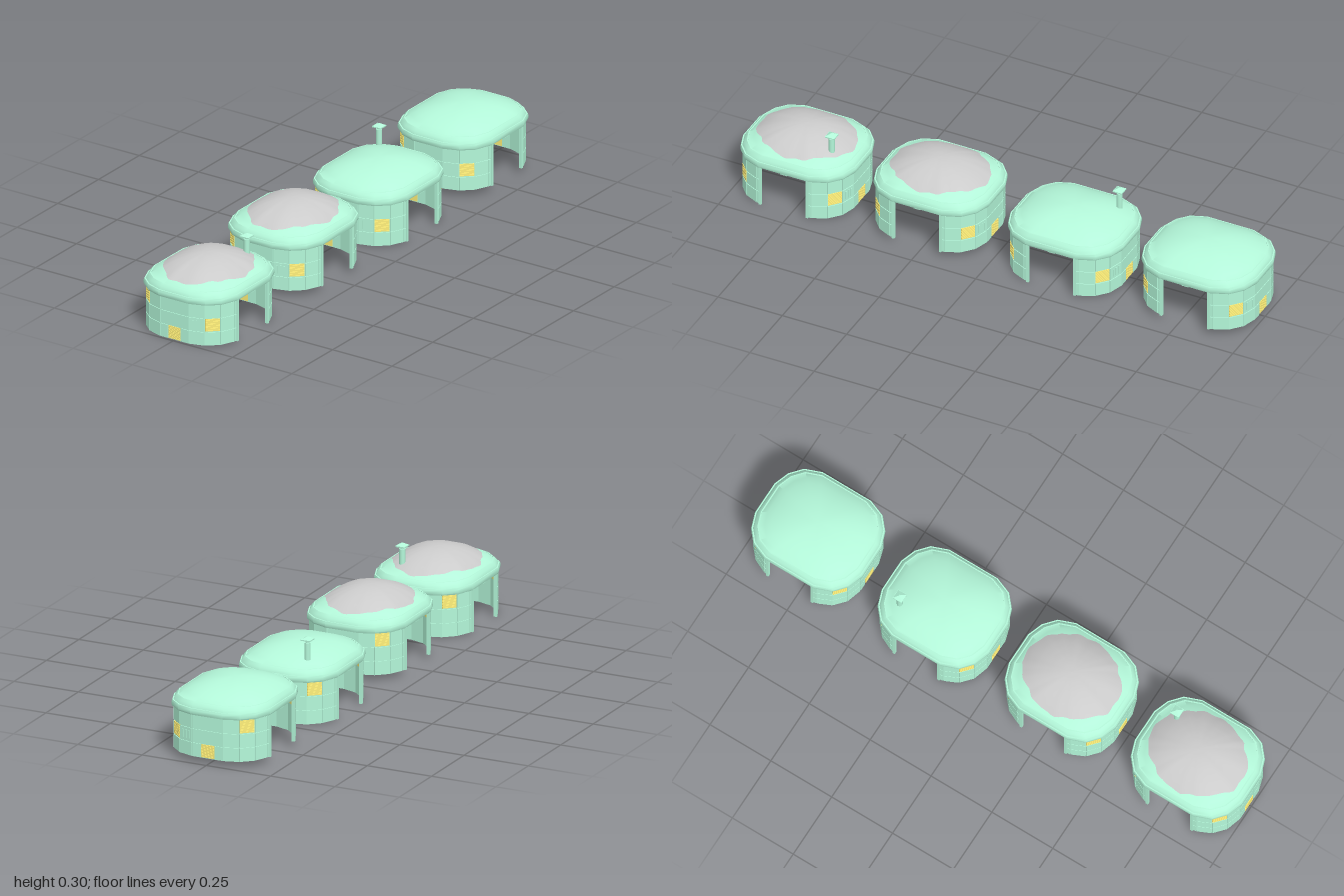
import * as THREE from 'three';
import { toCreasedNormals } from 'three/addons/utils/BufferGeometryUtils.js';

const GREEN = new THREE.MeshStandardMaterial({ color: 0xb4f8da });
const YELLOW = new THREE.MeshStandardMaterial({ color: 0xfff07a });
const GREY = new THREE.MeshStandardMaterial({ color: 0xcccccc });

// Roof plan: one quarter, mirrored to the full faceted oval (counted from +x towards +z)
const QUARTER = [[0.188, 0], [0.188, 0.1], [0.164, 0.162], [0.12, 0.2], [0.063, 0.22], [0, 0.22]];
const half = [...QUARTER, ...QUARTER.slice(0, -1).reverse().map(([x, z]) => [-x, z])];
const PLAN = [...half, ...half.slice(1, -1).reverse().map(([x, z]) => [x, -z])];

// Roof profile: [share of the plan, height]
const DOME = [[0.885, 0.196], [0.8, 0.207], [0.7, 0.216], [0.58, 0.225], [0.45, 0.232], [0.3, 0.238], [0.15, 0.2415], [0, 0.2425]];
const ROOF = [[0, 0.157], [0.975, 0.155], [0.99, 0.155], [1, 0.16], [1, 0.172], [0.99, 0.178], [0.97, 0.178],
  [0.945, 0.188], [0.905, 0.197], [0.885, 0.197], ...DOME];

// Front wall corners, from the -x door jamb to the +x door jamb
const LEFT = [[-0.184, 0.088], [-0.181, 0.108], [-0.158, 0.158], [-0.116, 0.195], [-0.06, 0.212]];
const WALL = [...LEFT, ...[...LEFT].reverse().map(([x, z]) => [-x, z])];
const ROWS = [0, 0.052, 0.103, 0.155];

function add(parent, name, geometry, material, x = 0, y = 0, z = 0) {
  const mesh = new THREE.Mesh(geometry, material);
  mesh.name = name;
  mesh.position.set(x, y, z);
  parent.add(mesh);
  return mesh;
}

// Closed rings joined row by row; point(i, j) gives each corner
function loft(rows, cols, point) {
  const pos = [], index = [];
  for (let i = 0; i < rows; i++) for (let j = 0; j < cols; j++) pos.push(...point(i, j));
  for (let i = 0; i < rows - 1; i++) {
    for (let j = 0; j < cols; j++) {
      const a = i * cols + j, b = i * cols + (j + 1) % cols;
      index.push(a, a + cols, b, b, a + cols, b + cols);
    }
  }
  const g = new THREE.BufferGeometry();
  g.setAttribute('position', new THREE.Float32BufferAttribute(pos, 3));
  g.setIndex(index);
  return g;
}

function planRadius(angle) {
  let r = Infinity;
  PLAN.forEach(([x, z], i) => {
    const [x2, z2] = PLAN[(i + 1) % PLAN.length];
    const nx = z2 - z, nz = x - x2;
    const d = nx * Math.cos(angle) + nz * Math.sin(angle);
    if (d > 1e-6) r = Math.min(r, (nx * x + nz * z) / d);
  });
  return r;
}

function domeHeight(s) {
  const i = Math.max(1, DOME.findIndex(([t]) => t <= s));
  const [s0, y0] = DOME[i - 1], [s1, y1] = DOME[i];
  return y0 + (y1 - y0) * (s - s0) / (s1 - s0);
}

function roofGeometry() {
  const g = loft(ROOF.length, PLAN.length, (i, j) => {
    const [s, y] = ROOF[i];
    return [PLAN[j][0] * s, y, PLAN[j][1] * s];
  });
  return toCreasedNormals(g, 0.53);
}

// Rounded covering with a ragged, diamond-like border
function capGeometry() {
  const rows = 16, cols = 72;
  const g = loft(rows, cols, (i, j) => {
    const t = 1 - i / (rows - 1), a = j / cols * Math.PI * 2;
    const s = t * (0.765 + 0.06 * Math.cos(4 * a) + 0.012 * Math.sin(11 * a) + 0.008 * Math.cos(17 * a));
    const r = s * planRadius(a);
    return [r * Math.cos(a), domeHeight(s) + 0.0015 + 0.018 * (1 - t * t), r * Math.sin(a)];
  });
  g.computeVertexNormals();
  return g;
}

// One curved end wall; side = 1 for the front, -1 for the back
function endWall(side) {
  const wall = new THREE.Group();
  wall.name = side > 0 ? 'frontWall' : 'backWall';
  for (let f = 0; f < WALL.length - 1; f++) {
    const [ax, az] = WALL[f], [bx, bz] = WALL[f + 1];
    const len = Math.hypot(bx - ax, bz - az);
    const dx = (bx - ax) / len, dz = (bz - az) / len;
    // Box on this facet: span u along it, height y, depth d outwards
    const slab = (name, mat, u0, u1, y0, y1, d0, d1) => {
      const u = (u0 + u1) / 2, d = (d0 + d1) / 2;
      const m = add(wall, name, new THREE.BoxGeometry(u1 - u0, y1 - y0, d1 - d0), mat,
        ax + dx * u - dz * d, (y0 + y1) / 2, side * (az + dz * u + dx * d));
      m.rotation.y = Math.atan2(-dz, dx * side);
    };
    const panel = (u0, u1, row) => slab('wallPanel', GREEN, u0 + 0.0015, u1 - 0.0015,
      ROWS[row] + 0.0015, ROWS[row + 1] - 0.0015, -0.003, 0);
    const shutter = (u0, u1, row) => {
      const y0 = ROWS[row] + 0.002, y1 = ROWS[row + 1] - 0.002, n = 9, h = (y1 - y0) / n;
      slab('shutterPlate', YELLOW, u0 + 0.002, u1 - 0.002, y0, y1, -0.0085, -0.002);
      for (let k = 0; k < n; k++) {
        slab('shutterSlat', YELLOW, u0 + 0.002, u1 - 0.002, y0 + k * h + 0.0007, y0 + (k + 1) * h - 0.0007, -0.002, 0);
      }
    };
    slab('wallBacking', GREEN, 0, len, 0, 0.157, -0.008, -0.003);
    for (let row = 0; row < 3; row++) {
      if (f === 4 && row === 0) {
        panel(0, 0.032, row);
        shutter(0.032, 0.086, row);
        panel(0.086, len, row);
      } else if (f === 4 && row === 1) {
        panel(0, 0.086, row);
        panel(0.086, len, row);
      } else if ((f === 2 && row === 2) || (f === 6 && row === 1)) {
        shutter(0, len, row);
      } else {
        panel(0, len, row);
      }
    }
    // Three upright vent bars
    if (f === 5) {
      for (const u of [0.015, 0.028, 0.041]) slab('ventBar', GREEN, u - 0.0025, u + 0.0025, 0.062, 0.093, 0, 0.002);
    }
  }
  for (const s of [-1, 1]) {
    add(wall, 'doorJamb', new THREE.BoxGeometry(0.011, 0.157, 0.009), GREEN, s * 0.1815, 0.0785, side * 0.0915);
  }
  return wall;
}

function chimney(x, z) {
  const g = new THREE.Group();
  g.name = 'chimney';
  g.position.set(x, 0, z);
  add(g, 'chimneyPipe', new THREE.CylinderGeometry(0.011, 0.011, 0.085, 12), GREEN, 0, 0.2355, 0);
  add(g, 'chimneyNeck', new THREE.CylinderGeometry(0.007, 0.007, 0.012, 12), GREEN, 0, 0.283, 0);
  add(g, 'chimneyCapSlab', new THREE.BoxGeometry(0.036, 0.004, 0.036), GREEN, 0, 0.2885, 0);
  const top = new THREE.CylinderGeometry(0.003, 0.024, 0.009, 4).toNonIndexed();
  top.computeVertexNormals();
  add(g, 'chimneyCapTop', top, GREEN, 0, 0.295, 0).rotation.y = Math.PI / 4;
  return g;
}

export function createModel() {
  const model = new THREE.Group();
  model.name = 'hutRow';
  const roof = roofGeometry(), cap = capGeometry();
  const huts = [
    { z: 0.78, y: 0, cap: true, chimneyX: 0.07 },
    { z: 0.262, y: 0.02, cap: true },
    { z: -0.26, y: 0, chimneyX: -0.086 },
    { z: -0.78, y: 0.022 },
  ];
  for (const h of huts) {
    const hut = new THREE.Group();
    hut.name = 'hut';
    hut.position.set(0, h.y, h.z);
    hut.add(endWall(1), endWall(-1));
    add(hut, 'roof', roof, GREEN);
    if (h.cap) add(hut, 'roofCovering', cap, GREY);
    if (h.chimneyX) hut.add(chimney(h.chimneyX, -0.13));
    // Small latch block under the eave over each side opening
    for (const s of [-1, 1]) add(hut, 'latch', new THREE.BoxGeometry(0.012, 0.006, 0.026), GREEN, s * 0.178, 0.154, 0);
    model.add(hut);
  }
  return model;
}
